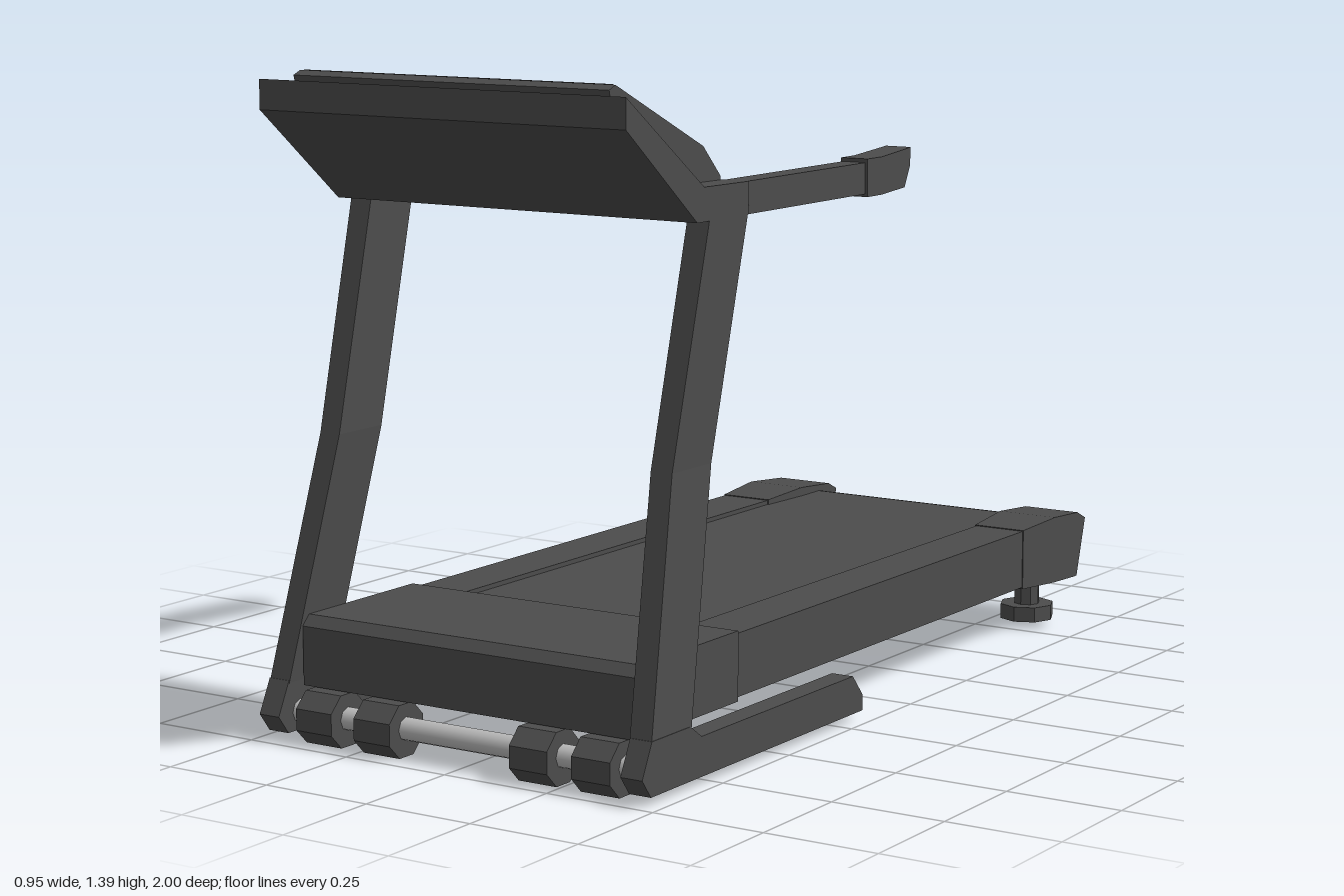
import * as THREE from 'three';

const mat = (name, color) => {
  const m = new THREE.MeshStandardMaterial({ color });
  m.name = name;
  return m;
};

// Extrudes a (z, y) profile across x from x0 to x1
function prism(profile, x0, x1) {
  const shape = new THREE.Shape(profile.map(([z, y]) => new THREE.Vector2(z, y)));
  const g = new THREE.ExtrudeGeometry(shape, { depth: x1 - x0, bevelEnabled: false });
  return g.rotateY(-Math.PI / 2).translate(x1, 0, 0);
}

// Joins four-cornered sections [x0, x1, zA, yA, zB, yB]; side -1 mirrors across x
function loft(sections, side = 1) {
  const rings = sections.map(([x0, x1, za, ya, zb, yb]) =>
    [[x0, ya, za], [x1, ya, za], [x1, yb, zb], [x0, yb, zb]]
      .map(([x, y, z]) => new THREE.Vector3(x * side, y, z)));
  const tris = [];
  const quad = (a, b, c, d) => tris.push([a, b, c], [a, c, d]);
  for (let i = 0; i + 1 < rings.length; i++) {
    for (let k = 0; k < 4; k++) {
      const n = (k + 1) % 4;
      quad(rings[i][k], rings[i][n], rings[i + 1][n], rings[i + 1][k]);
    }
  }
  const last = rings[rings.length - 1];
  quad(rings[0][3], rings[0][2], rings[0][1], rings[0][0]);
  quad(last[0], last[1], last[2], last[3]);
  // Turn the faces outwards
  const volume = tris.reduce((s, [a, b, c]) => s + a.dot(b.clone().cross(c)), 0);
  const points = tris.flatMap(t => (volume < 0 ? [t[0], t[2], t[1]] : t));
  const g = new THREE.BufferGeometry().setFromPoints(points);
  g.computeVertexNormals();
  return g;
}

export function createModel() {
  const model = new THREE.Group();
  model.name = 'treadmill';
  const body = mat('charcoal body', 0x4c4c4c);
  const steel = mat('pale steel', 0xbcbcbc);
  const blue = mat('screen blue', 0x7ca8e4);
  const black = mat('screen border black', 0x303030);
  body.flatShading = true;

  const add = (name, geometry, material = body) => {
    const m = new THREE.Mesh(geometry, material);
    m.name = name;
    model.add(m);
    return m;
  };

  // Running belt: a loop with a rounded rear end
  const belt = [[0.6, 0.135], [0.6, 0.245]];
  for (let i = 0; i <= 12; i++) {
    const a = Math.PI / 2 + (Math.PI * i) / 12;
    belt.push([-0.9 + 0.055 * Math.cos(a), 0.19 + 0.055 * Math.sin(a)]);
  }
  add('runningBelt', prism(belt, -0.29, 0.29));

  // Motor hood
  add('motorHood', prism([[0.56, 0.115], [0.56, 0.262], [0.91, 0.262], [0.93, 0.24], [0.93, 0.115]], -0.415, 0.415));

  // Transport axle and wheels
  add('wheelAxle', new THREE.CylinderGeometry(0.025, 0.025, 0.86, 8).rotateZ(Math.PI / 2).translate(0, 0.06, 0.93), steel);
  for (const x of [-0.345, -0.195, 0.195, 0.345]) {
    const wheel = new THREE.CylinderGeometry(0.06, 0.06, 0.092, 8);
    add('transportWheel', wheel.rotateY(Math.PI / 8).rotateZ(Math.PI / 2).translate(x, 0.057, 0.93));
  }

  for (const s of [1, -1]) {
    const side = s > 0 ? 'left' : 'right';

    // Deck rail and rear end cap
    add(side + 'DeckRail', loft([
      [0.288, 0.41, 0.7, 0.122, 0.7, 0.255],
      [0.288, 0.41, -0.7, 0.122, -0.7, 0.255],
    ], s));
    add(side + 'RearCap', loft([
      [0.285, 0.412, -0.68, 0.118, -0.68, 0.257],
      [0.276, 0.422, -0.82, 0.11, -0.82, 0.266],
      [0.276, 0.415, -0.94, 0.102, -0.95, 0.256],
      [0.284, 0.41, -0.96, 0.1, -1.0, 0.235],
    ], s));

    // Adjustable rear foot
    add(side + 'FootPost', new THREE.CylinderGeometry(0.03, 0.03, 0.08, 8).translate(s * 0.35, 0.085, -0.82));
    add(side + 'FootPad', new THREE.CylinderGeometry(0.064, 0.064, 0.035, 8).translate(s * 0.35, 0.036, -0.82));

    // Floor runner and leaning upright
    const [r0, r1] = s > 0 ? [0.425, 0.476] : [-0.476, -0.425];
    add(side + 'FloorRunner', prism([[0.97, 0.02], [1.0, 0.06], [0.966, 0.13], [0.83, 0.13],
      [0.79, 0.102], [0.205, 0.102], [0.165, 0.055], [0.165, 0.02]], r0, r1));
    add(side + 'Upright', loft([
      [0.424, 0.475, 0.966, 0.125, 0.825, 0.125],
      [0.387, 0.437, 0.835, 0.63, 0.695, 0.63],
      [0.392, 0.444, 0.707, 1.13, 0.567, 1.13],
    ], s));

    // Handrail and its inward-bent grip
    add(side + 'Handrail', loft([
      [0.388, 0.442, 0.62, 1.112, 0.62, 1.178],
      [0.388, 0.442, 0.1, 1.112, 0.1, 1.178],
    ], s));
    add(side + 'HandGrip', loft([
      [0.384, 0.448, 0.11, 1.106, 0.11, 1.186],
      [0.382, 0.448, 0.05, 1.106, 0.05, 1.186],
      [0.349, 0.412, -0.11, 1.106, -0.11, 1.188],
      [0.336, 0.397, -0.16, 1.15, -0.16, 1.188],
    ], s));
  }

  // Console shell with a raised display housing
  add('consoleShell', prism([[0.57, 1.112], [0.57, 1.178], [0.73, 1.18], [1.0, 1.372], [1.0, 1.31], [0.755, 1.112]], -0.444, 0.444));
  add('displayHousing', prism([[0.575, 1.16], [0.578, 1.187], [0.64, 1.25], [0.945, 1.389], [0.966, 1.38],
    [0.955, 1.335], [0.75, 1.18]], -0.383, 0.383));

  // Thin plates laid on the housing's sloping faces
  const plate = (name, w, [z0, y0], [z1, y1], lift, material) => {
    const m = add(name, new THREE.BoxGeometry(w, 0.004, Math.hypot(z1 - z0, y1 - y0)), material);
    const a = Math.atan2(y1 - y0, z1 - z0);
    m.rotation.x = -a;
    m.position.set(0, (y0 + y1) / 2 + lift * Math.cos(a), (z0 + z1) / 2 - lift * Math.sin(a));
  };
  const onTop = z => [z, 1.25 + (z - 0.64) * 0.4557];
  plate('screenBorder', 0.75, onTop(0.65), onTop(0.943), 0, black);
  plate('screen', 0.736, onTop(0.657), onTop(0.937), 0.002, blue);
  plate('buttonStrip', 0.27, [0.585, 1.194], [0.622, 1.232], 0.001, steel);

  return model;
}
